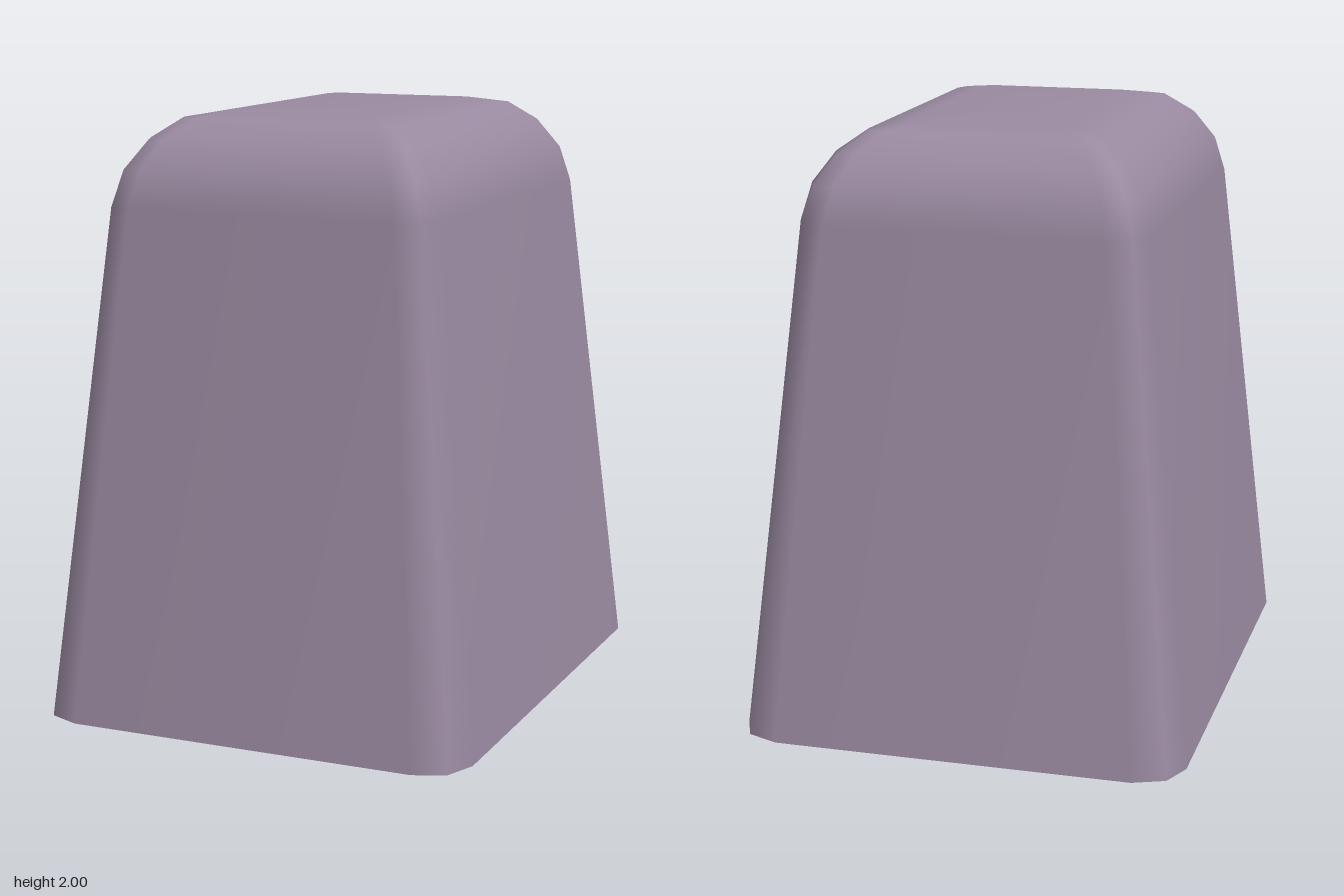
import * as THREE from 'three';

// Rings from the open base to the flat top: [y, half width x, half depth z, corner radius]
const RINGS = [
  [0, 0.75, 0.94, 0.15],
  [1.7, 0.572, 0.762, 0.112],
  [1.82, 0.54, 0.727, 0.105],
  [1.915, 0.475, 0.66, 0.09],
  [1.98, 0.387, 0.572, 0.07],
  [2, 0.275, 0.46, 0.045],
];
const CORNER_STEPS = 2;

// Rounded rectangle outline, running from +x towards +z
function outline([y, hx, hz, r]) {
  const points = [];
  for (let corner = 0; corner < 4; corner++) {
    const sx = corner === 0 || corner === 3 ? 1 : -1;
    const sz = corner < 2 ? 1 : -1;
    for (let i = 0; i <= CORNER_STEPS; i++) {
      const a = (corner + i / CORNER_STEPS) * Math.PI / 2;
      points.push(sx * (hx - r) + r * Math.cos(a), y, sz * (hz - r) + r * Math.sin(a));
    }
  }
  return points;
}

function shellGeometry() {
  const n = 4 * (CORNER_STEPS + 1);
  const positions = RINGS.flatMap(outline);
  const index = [];
  // Walls and rounded shoulder
  for (let k = 0; k < RINGS.length - 1; k++) {
    for (let i = 0; i < n; i++) {
      const a = k * n + i;
      const b = k * n + (i + 1) % n;
      index.push(a, a + n, b, b, a + n, b + n);
    }
  }
  // Flat top
  const last = (RINGS.length - 1) * n;
  const centre = positions.length / 3;
  positions.push(0, 2, 0);
  for (let i = 0; i < n; i++) index.push(centre, last + (i + 1) % n, last + i);

  const geometry = new THREE.BufferGeometry();
  geometry.setAttribute('position', new THREE.Float32BufferAttribute(positions, 3));
  geometry.setIndex(index);
  geometry.computeVertexNormals();
  return geometry;
}

export function createModel() {
  const group = new THREE.Group();
  group.name = 'keyCap';
  const material = new THREE.MeshStandardMaterial({ color: 0x9a8aa1, side: THREE.DoubleSide });
  material.name = 'dusty mauve';
  const shell = new THREE.Mesh(shellGeometry(), material);
  shell.name = 'taperedShell';
  group.add(shell);
  return group;
}
